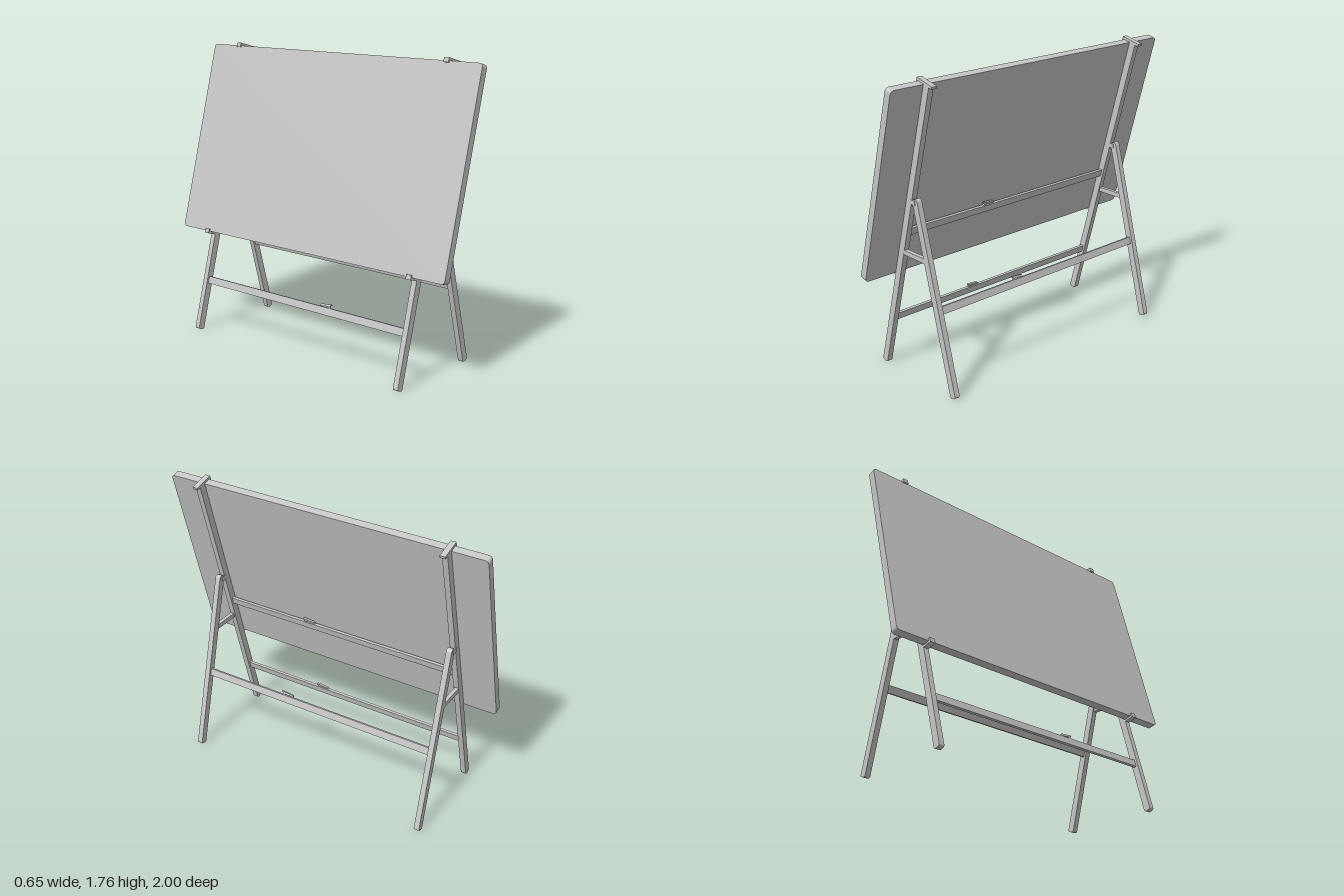
import * as THREE from 'three';

const TILT = Math.PI / 12;
const LEG_Z = 0.778;
const LEG_W = 0.043;
const LEG_D = 0.033;

export function createModel() {
  const root = new THREE.Group();
  root.name = 'foldingBoardStand';
  const grey = new THREE.MeshStandardMaterial({ color: 0xc6c6c6 });
  grey.name = 'grey';

  const add = (parent, name, geo) => {
    const mesh = new THREE.Mesh(geo, grey);
    mesh.name = name;
    parent.add(mesh);
    return mesh;
  };

  // Box given by its limits on each axis
  const box = (parent, name, x0, x1, y0, y1, z0, z1) => {
    const mesh = add(parent, name, new THREE.BoxGeometry(x1 - x0, y1 - y0, z1 - z0));
    mesh.position.set((x0 + x1) / 2, (y0 + y1) / 2, (z0 + z1) / 2);
    return mesh;
  };

  const extrude = (shape, depth) => {
    const geo = new THREE.ExtrudeGeometry(shape, { depth, bevelEnabled: false, curveSegments: 8 });
    return geo.translate(0, 0, -depth / 2);
  };

  // Rectangle whose lower and upper corners have their own radii
  const roundedRect = (w, y0, y1, r0, r1) => {
    const h = w / 2;
    const s = new THREE.Shape();
    s.moveTo(-h + r0, y0);
    s.lineTo(h - r0, y0);
    s.quadraticCurveTo(h, y0, h, y0 + r0);
    s.lineTo(h, y1 - r1);
    s.quadraticCurveTo(h, y1, h - r1, y1);
    s.lineTo(-h + r1, y1);
    s.quadraticCurveTo(-h, y1, -h, y1 - r1);
    s.lineTo(-h, y0 + r0);
    s.quadraticCurveTo(-h, y0, -h + r0, y0);
    return s;
  };

  // Two leaning frames, local y runs along the legs
  const frame = (name, side) => {
    const g = new THREE.Group();
    g.name = name;
    g.position.x = side * 0.311;
    g.rotation.z = side * TILT;
    root.add(g);
    return g;
  };
  const front = frame('boardFrame', -1);
  const rear = frame('supportFrame', 1);

  // Cross bar with its small latch
  const latchShape = new THREE.Shape([
    [0.23, -0.003], [0.217, -0.003], [0.214, 0.008], [0.155, 0.003],
    [0.16, 0.016], [0.236, 0.023], [0.236, 0.017], [0.226, 0.013],
  ].map(([z, y]) => new THREE.Vector2(z, y)));
  const crossBar = (parent, y) => {
    box(parent, 'crossBar', -0.008, 0.008, y - 0.022, y + 0.022, -LEG_Z + 0.014, LEG_Z - 0.014);
    const latch = add(parent, 'latch', extrude(latchShape, 0.012).rotateY(-Math.PI / 2));
    latch.position.y = y + 0.022;
  };
  crossBar(front, 0.318);
  crossBar(front, 0.899);
  crossBar(rear, 0.497);

  // Board leaning on the front legs
  const board = add(front, 'board',
    extrude(roundedRect(2, 0.62, 1.786, 0.025, 0.025), 0.045).rotateY(-Math.PI / 2));
  board.position.x = -0.0442;

  for (const s of [-1, 1]) {
    const z = s * LEG_Z;
    const za = z - LEG_D / 2;
    const zb = z + LEG_D / 2;

    // Legs
    add(front, 'frontLeg', extrude(roundedRect(LEG_W, 0.005, 1.787, 0.015, 0.001), LEG_D)).position.z = z;
    add(rear, 'rearLeg', extrude(roundedRect(LEG_W, 0.005, 1.124, 0.015, 0.0205), LEG_D)).position.z = z;

    // Upper clamp over the board edge
    box(front, 'topClamp', -0.08, 0.045, 1.787, 1.802, za, zb);
    box(front, 'topClampLip', -0.08, -0.07, 1.775, 1.788, za, zb);

    // Lower hook carrying the board
    box(front, 'bottomHook', -0.08, -0.02, 0.607, 0.619, za, zb);
    box(front, 'bottomHookLip', -0.08, -0.07, 0.618, 0.634, za, zb);

    // Spreader between the legs
    box(root, 'spreader', -0.1, 0.1, 0.736, 0.764, z + s * 0.004 - 0.012, z + s * 0.004 + 0.012);

    // Hinge plates on both faces of the joint
    for (const f of [-1, 1]) {
      const p = z + f * (LEG_D / 2 + 0.0015);
      box(root, 'hingePlate', -0.012, 0.026, 1.052, 1.078, p - 0.002, p + 0.002);
    }
  }

  return root;
}
